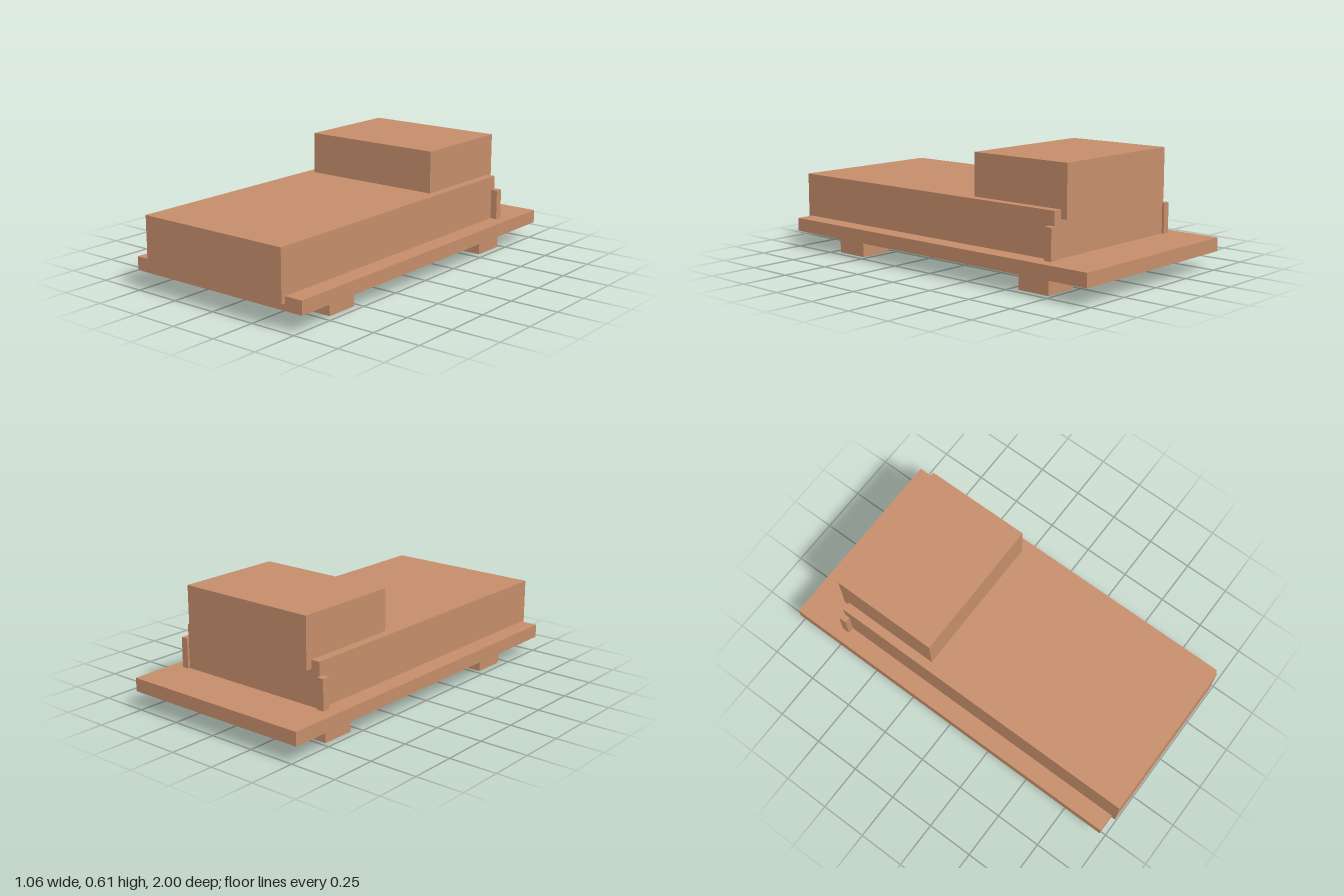
import * as THREE from 'three';

export function createModel() {
  const model = new THREE.Group();
  const tan = new THREE.MeshStandardMaterial({ color: 0xc68e6b });
  tan.name = 'tan';

  // Box given by its minimum and maximum corners
  function addBox(name, min, max) {
    const size = max.map((v, i) => v - min[i]);
    const mesh = new THREE.Mesh(new THREE.BoxGeometry(...size), tan);
    mesh.position.set(...max.map((v, i) => (v + min[i]) / 2));
    mesh.name = name;
    model.add(mesh);
  }

  // Bed base, mattress and pillow
  addBox('base', [-0.529, 0.092, -1], [0.528, 0.162, 0.976]);
  addBox('mattress', [-0.433, 0.128, -0.733], [0.43, 0.392, 1]);
  addBox('pillow', [-0.386, 0.348, -0.768], [0.383, 0.61, -0.193]);

  // Mirrored posts and feet
  for (const [side, s] of [['left', 1], ['right', -1]]) {
    const pair = (name, x0, x1, y0, y1, z0, z1) =>
      addBox(side + name, [Math.min(s * x0, s * x1), y0, z0], [Math.max(s * x0, s * x1), y1, z1]);
    pair('Post', 0.428, 0.466, 0.15, 0.32, -0.745, -0.703);
    pair('FrontFoot', 0.284, 0.463, 0, 0.1, 0.528, 0.707);
    pair('BackFoot', 0.284, 0.463, 0, 0.1, -0.728, -0.547);
  }
  return model;
}
